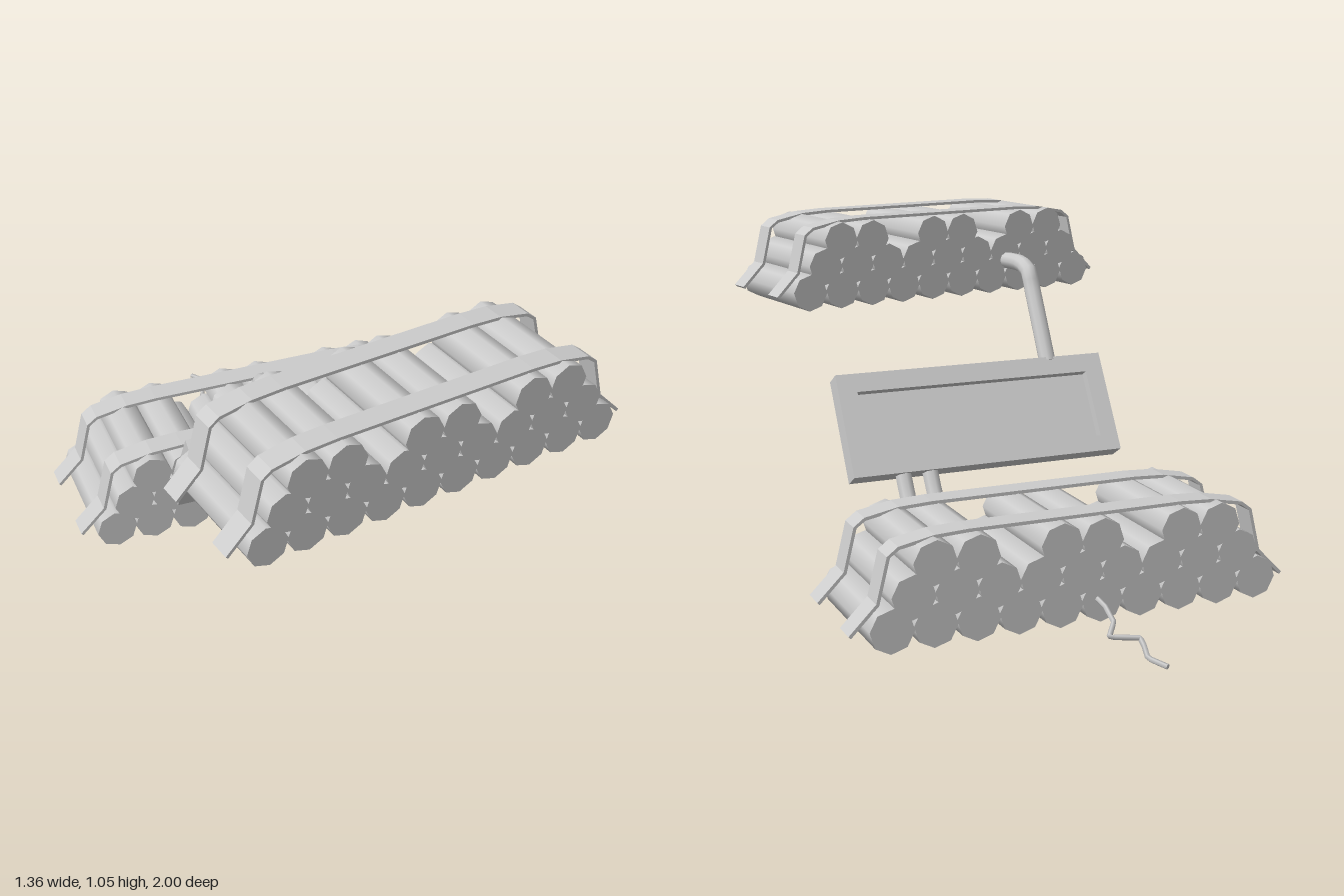
import * as THREE from 'three';

const material = new THREE.MeshStandardMaterial({ color: 0xcccccc });
const R = 0.065, PITCH = 0.126, ROW = 0.0885, LENGTH = 0.425;

function add(parent, name, geometry, x = 0, y = 0, z = 0) {
  const mesh = new THREE.Mesh(geometry, material);
  mesh.name = name;
  mesh.position.set(x, y, z);
  parent.add(mesh);
  return mesh;
}

// Flat band following the top of a bundle, widened along z
function strapGeometry(width) {
  const half = [[0.68, 0.055], [0.6, 0.135], [0.568, 0.265], [0.535, 0.29], [0.43, 0.31], [0.33, 0.315]];
  const line = [...half.map(([x, y]) => [-x, y]), ...half.reverse()].map(p => new THREE.Vector2(...p));
  const offset = line.map((p, i) => {
    const a = line[Math.max(i - 1, 0)], b = line[Math.min(i + 1, line.length - 1)];
    const d = b.clone().sub(a).normalize();
    return new THREE.Vector2(p.x + d.y * 0.01, p.y - d.x * 0.01);
  });
  const shape = new THREE.Shape([...line, ...offset.reverse()]);
  return new THREE.ExtrudeGeometry(shape, { depth: width, bevelEnabled: false }).translate(0, 0, -width / 2);
}

// Three nested rows of eight-sided sticks, held by two straps
function createBundle(name) {
  const bundle = new THREE.Group();
  bundle.name = name;
  const stick = new THREE.CylinderGeometry(R, R, LENGTH, 8).rotateX(Math.PI / 2).rotateZ(0.08);
  [10, 9, 8].forEach((count, row) => {
    for (let i = 0; i < count; i++) {
      // the top row is split into three pairs
      if (row === 2 && (i === 2 || i === 5)) continue;
      add(bundle, 'stick', stick, (i - (count - 1) / 2) * PITCH, R + row * ROW, 0);
    }
  });
  const strap = strapGeometry(0.075);
  for (const z of [-0.14, 0.145]) add(bundle, 'strap', strap, 0, 0, z);
  return bundle;
}

// Capped pipe through straight or smoothed points
function addPipe(parent, name, points, radius, sides, smooth) {
  const pts = points.map(p => new THREE.Vector3(...p));
  let curve;
  if (smooth) curve = new THREE.CatmullRomCurve3(pts);
  else {
    curve = new THREE.CurvePath();
    for (let i = 1; i < pts.length; i++) curve.add(new THREE.LineCurve3(pts[i - 1], pts[i]));
  }
  add(parent, name, new THREE.TubeGeometry(curve, smooth ? 14 : 30, radius, sides));
  for (const t of [0, 1]) {
    const cap = add(parent, name + 'End', new THREE.CircleGeometry(radius, sides));
    const dir = curve.getTangent(t).multiplyScalar(t ? 1 : -1);
    cap.position.copy(curve.getPoint(t));
    cap.quaternion.setFromUnitVectors(new THREE.Vector3(0, 0, 1), dir);
  }
}

function rectangle(Type, w, h, y = 0) {
  return new Type([[-w, -h], [w, -h], [w, h], [-w, h]].map(([a, b]) => new THREE.Vector2(a / 2, b / 2 + y)));
}

// Tilted box with a shallow recess in its rear face
function createPanel() {
  const panel = new THREE.Group();
  panel.name = 'controlPanel';
  const w = 0.9, h = 0.33, t = 0.066, recess = 0.03;
  const frame = rectangle(THREE.Shape, w, h);
  frame.holes.push(rectangle(THREE.Path, w - 0.12, h - 0.11, -0.005));
  add(panel, 'panelFrame', new THREE.ExtrudeGeometry(frame, { depth: recess, bevelEnabled: false }), 0, 0, -t / 2);
  add(panel, 'panelBody', new THREE.BoxGeometry(w, h, t - recess), 0, 0, recess / 2);
  panel.position.set(0.02, 0.45, 0.133);
  panel.rotation.x = 0.54;
  return panel;
}

export function createModel() {
  const model = new THREE.Group();
  model.name = 'stickBundles';

  const rear = createBundle('rearBundle');
  rear.position.z = -0.3725;
  model.add(rear);

  const front = createBundle('frontBundle');
  front.scale.setScalar(0.9);
  front.rotation.y = 0.174;
  front.position.set(0, 0.768, 0.707);
  model.add(front);

  model.add(createPanel());

  // Pipes joining the panel to the bundles
  const x = -0.253;
  addPipe(model, 'upperPipe', [[x, 0.88, 0.53], [x, 0.882, 0.41], [x, 0.865, 0.355], [x, 0.81, 0.325], [x, 0.71, 0.27], [x, 0.59, 0.205]], 0.027, 10, true);
  for (const px of [0.215, 0.303])
    addPipe(model, 'lowerPipe', [[px, 0.33, 0.063], [px, 0.24, 0.005], [px, 0.16, -0.07], [px, 0.09, -0.17]], 0.026, 8, true);

  // Crooked fuse trailing from the rear bundle
  addPipe(model, 'fuse', [[-0.048, 0.072, -0.57], [-0.045, 0.065, -0.64], [-0.027, 0.052, -0.725], [0.015, 0.035, -0.78],
    [-0.066, 0.03, -0.806], [-0.05, 0.028, -0.86], [-0.016, 0.03, -0.944], [-0.045, 0.022, -0.998]], 0.008, 5, false);
  return model;
}
